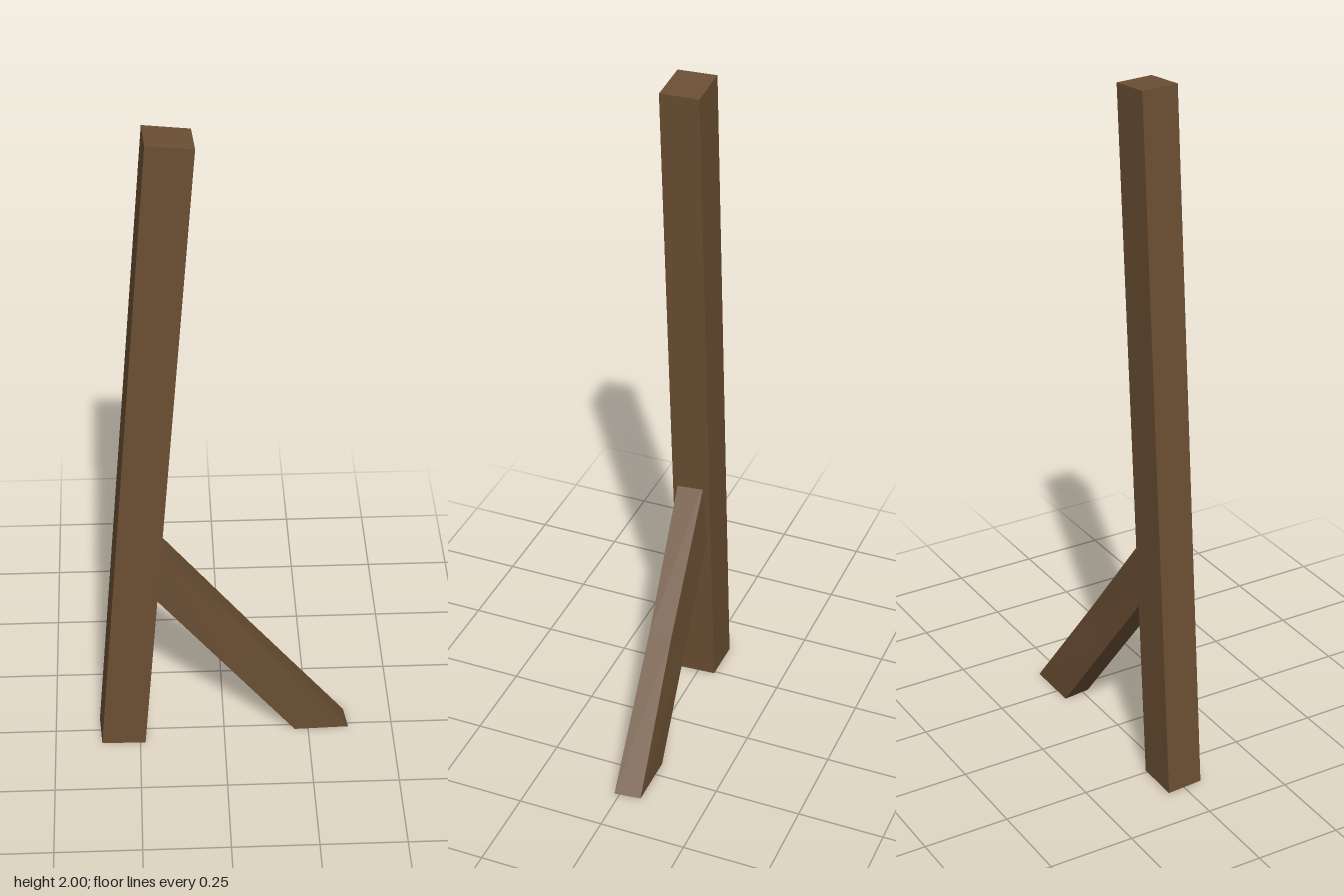
import * as THREE from 'three';

const wood = new THREE.MeshStandardMaterial({ color: 0x6b4f33, flatShading: true });
const cutEnd = new THREE.MeshStandardMaterial({ color: 0xcccccc, flatShading: true });

function mesh(name, points, material) {
  const geometry = new THREE.BufferGeometry();
  geometry.setAttribute('position', new THREE.Float32BufferAttribute(points.flat(), 3));
  geometry.computeVertexNormals();
  const m = new THREE.Mesh(geometry, material);
  m.name = name;
  return m;
}

// Four-sided beam through rings from bottom to top.
// Each ring: left front, right front, right back, left back.
function beam(name, rings) {
  const group = new THREE.Group();
  group.name = name;
  const sides = [];
  for (let r = 0; r < rings.length - 1; r++) {
    const a = rings[r], b = rings[r + 1];
    for (let i = 0; i < 4; i++) {
      const j = (i + 1) % 4;
      sides.push(a[i], a[j], b[j], a[i], b[j], b[i]);
    }
  }
  const t = rings[rings.length - 1], f = rings[0];
  sides.push(t[0], t[1], t[2], t[0], t[2], t[3]);
  group.add(mesh(name + 'Timber', sides, wood));
  // Bare sawn foot
  group.add(mesh(name + 'Foot', [f[0], f[2], f[1], f[0], f[3], f[2]], cutEnd));
  return group;
}

export function createModel() {
  const model = new THREE.Group();
  model.name = 'bracedPost';

  // Leaning post
  model.add(beam('post', [
    [[-0.363, 0, 0.057], [-0.235, 0, 0.06], [-0.242, 0, -0.05], [-0.37, 0, -0.051]],
    [[-0.2, 2, 0.057], [-0.074, 1.987, 0.057], [-0.081, 1.987, -0.051], [-0.207, 2, -0.051]],
  ]));

  // Diagonal brace, slightly twisted, its upper end sunk into the post
  model.add(beam('brace', [
    [[0.21, 0, 0.02], [0.37, 0, 0.015], [0.361, 0, -0.062], [0.2, 0, -0.062]],
    [[0.005, 0.265, 0.027], [0.085, 0.368, 0.025], [0.08, 0.368, -0.041], [0, 0.265, -0.05]],
    [[-0.215, 0.555, 0.042], [-0.195, 0.73, 0.047], [-0.197, 0.73, -0.03], [-0.22, 0.555, -0.038]],
  ]));

  return model;
}
